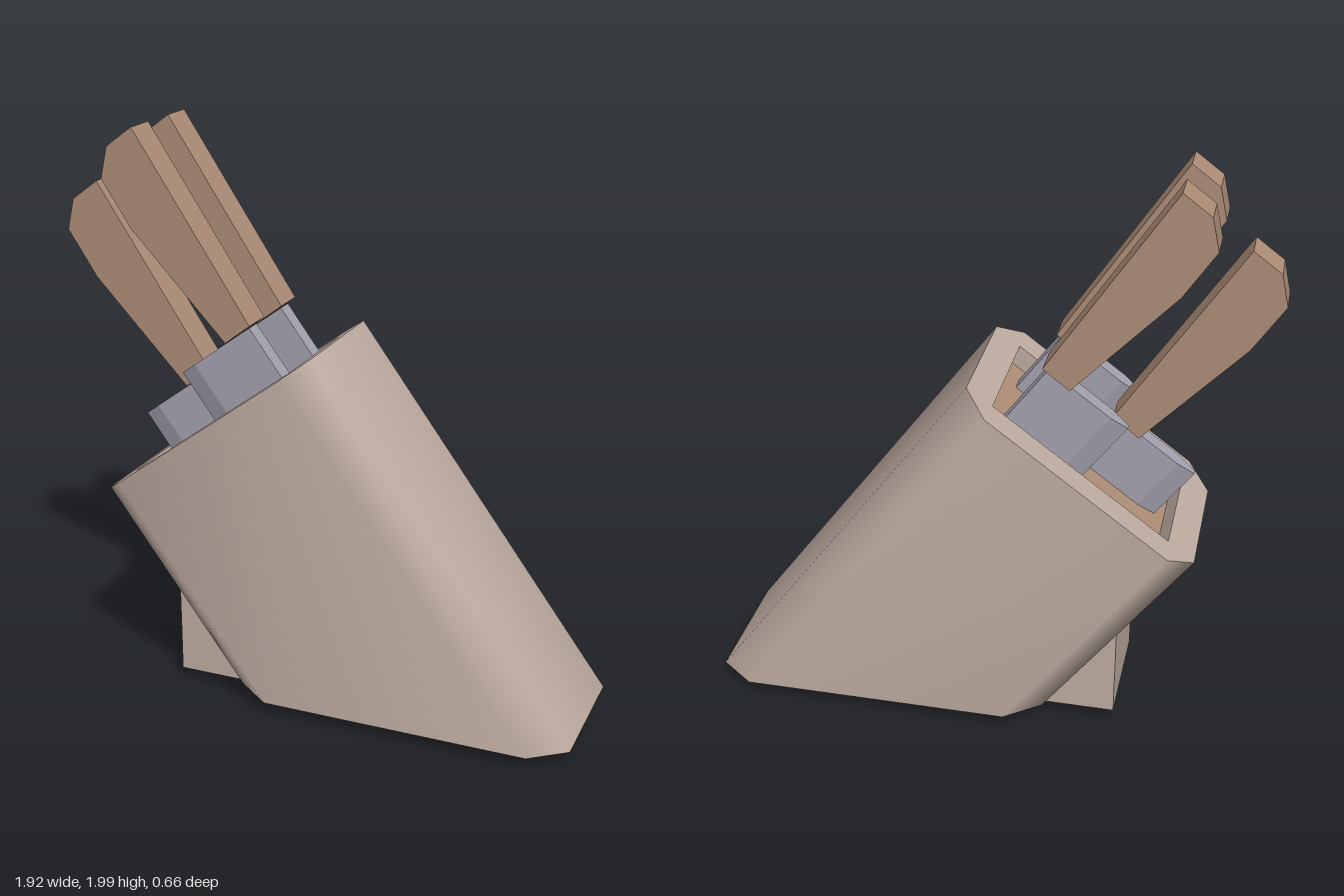
import * as THREE from 'three';

const mat = (name, color, side = THREE.FrontSide) => {
  const m = new THREE.MeshStandardMaterial({ color, side });
  m.name = name;
  return m;
};

// Tilted frame of the block: u runs along the slanted top, w points out of it.
const TILT = 0.637, COS = Math.cos(TILT), SIN = Math.sin(TILT);
const OX = -0.74, OY = 0.73, BASE = 0.05;
const toWorld = (u, w) => [OX + u * COS - w * SIN, OY + u * SIN + w * COS];
const toLocal = ([x, y]) => [(x - OX) * COS + (y - OY) * SIN, -(x - OX) * SIN + (y - OY) * COS];

const shapeOf = (pts) => new THREE.Shape(pts.map(([x, y]) => new THREE.Vector2(x, y)));

// Side walls between two rings with the same number of points.
function walls(top, bottom) {
  const n = top.length, index = [];
  for (let i = 0; i < n; i++) {
    const j = (i + 1) % n;
    index.push(i, j, j + n, i, j + n, i + n);
  }
  const g = new THREE.BufferGeometry();
  g.setAttribute('position', new THREE.Float32BufferAttribute([...top, ...bottom].flat(), 3));
  g.setIndex(index);
  return g;
}

// Plate of given depth, centred on z = 0.
function slab(pts, depth) {
  const g = new THREE.ExtrudeGeometry(shapeOf(pts), { depth, bevelEnabled: false });
  return g.translate(0, 0, -depth / 2);
}

export function createModel() {
  const model = new THREE.Group();
  model.name = 'knifeBlock';
  const wood = mat('paleWood', 0xbfada2);
  const brown = mat('brownWood', 0xae8e77);
  const metal = mat('steel', 0xa5a2b0);

  const add = (parent, name, geometry, material) => {
    const m = new THREE.Mesh(geometry, material);
    m.name = name;
    parent.add(m);
    return m;
  };

  const tilted = new THREE.Group();
  tilted.name = 'tiltedParts';
  tilted.position.set(OX, OY, 0);
  tilted.rotation.z = TILT;
  model.add(tilted);

  // Block body: chamfered section swept down the slant, cut level at the base
  const L = 0.958, C = 0.1, H = 0.33, K = 0.235;
  const ring = [[C, -H], [L - C, -H], [L, -K], [L, K], [L - C, H], [C, H], [0, K], [0, -K]];
  const top = ring.map(([u, z]) => [...toWorld(u, 0), z]);
  const bottom = ring.map(([u, z]) => {
    const w = -(OY + u * SIN - BASE) / COS;
    return [...toWorld(u, w), z];
  });
  const body = walls(top, bottom);
  body.computeVertexNormals();
  add(model, 'blockSides', body, wood);

  const base = new THREE.ShapeGeometry(shapeOf(bottom.map(([x, , z]) => [x, z])));
  add(model, 'blockBase', base.rotateX(Math.PI / 2).translate(0, BASE, 0), wood);

  // Rim around the recess, recess walls and floor
  const U0 = 0.112, U1 = 0.852, RZ = 0.225, DEEP = 0.07;
  const opening = [[U0, -RZ], [U0, RZ], [U1, RZ], [U1, -RZ]];
  const rim = shapeOf(ring);
  rim.holes.push(new THREE.Path(opening.map(([u, z]) => new THREE.Vector2(u, z))));
  add(tilted, 'topRim', new THREE.ShapeGeometry(rim).rotateX(-Math.PI / 2), wood);

  const recess = walls(
    opening.map(([u, z]) => [u, 0, z]),
    opening.map(([u, z]) => [u, -DEEP, z])
  ).toNonIndexed();
  recess.computeVertexNormals();
  add(tilted, 'recessWalls', recess, wood);

  const floor = new THREE.PlaneGeometry(U1 - U0, 2 * RZ).rotateX(-Math.PI / 2);
  add(tilted, 'recessFloor', floor.translate((U0 + U1) / 2, -DEEP, 0), brown);

  // Rear prop wedge
  add(model, 'rearSupport', slab([[-0.49, BASE], [-0.24, BASE], [-0.49, 0.39]], 0.42), wood);

  // Knife parts
  const handle = slab([
    [-0.21, 1.37], [-0.625, 2.0], [-0.72, 1.93], [-0.745, 1.82], [-0.64, 1.66], [-0.30, 1.30],
  ].map(toLocal), 0.12);

  const E = 0.457, S = 0.785, BW = 0.195;
  const bolster = new THREE.ExtrudeGeometry(
    shapeOf([[E, -0.01], [E + 0.07, -0.03], [S, -0.03], [S, 0.03], [E + 0.07, 0.03], [E, 0.01]]),
    { depth: BW + 0.1, bevelEnabled: false }
  ).rotateX(-Math.PI / 2).translate(0, -0.1, 0);

  // Blade thins towards its tip
  const TIP = -1.2;
  const blade = slab([[E, -0.1], [E, -0.75], [0.624, -1.033], [0.774, TIP], [S, -1.0], [S, -0.1]], 0.04);
  const p = blade.attributes.position;
  for (let i = 0; i < p.count; i++) {
    p.setZ(i, p.getZ(i) * Math.min(1, (p.getY(i) - TIP) * 2.5 + 0.05));
  }
  blade.computeVertexNormals();

  // Two upper knives and one lower knife in the middle
  const knives = [['leftKnife', 0, 0, 0.13], ['rightKnife', 0, 0, -0.13], ['middleKnife', -0.305, -0.048, 0]];
  for (const [name, u, w, z] of knives) {
    const knife = new THREE.Group();
    knife.name = name;
    knife.position.set(u, w, z);
    tilted.add(knife);
    add(knife, 'handle', handle, brown);
    add(knife, 'bolster', bolster, metal);
    add(knife, 'blade', blade, metal);
  }
  return model;
}
